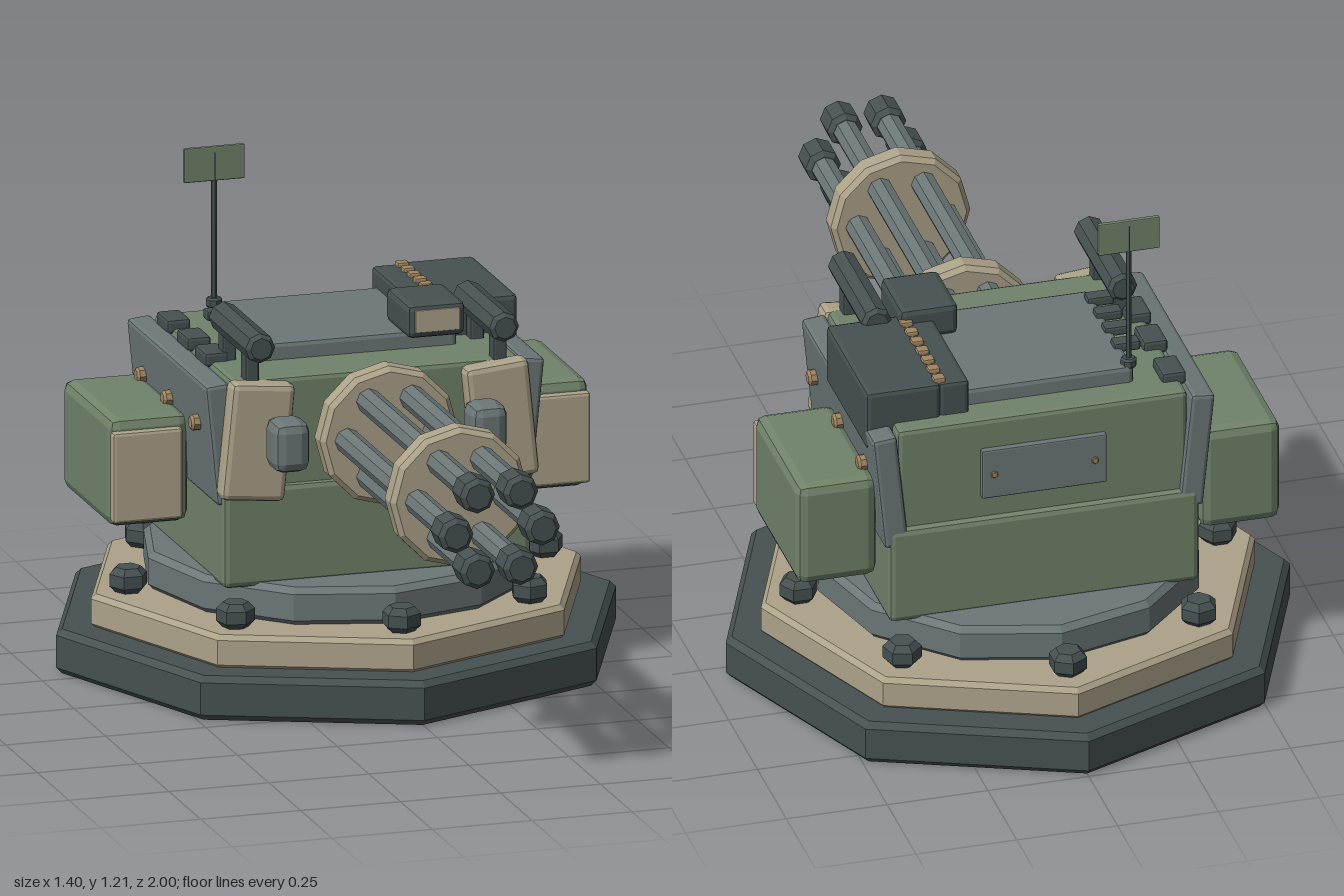
import * as THREE from 'three';
import { RoundedBoxGeometry } from 'three/addons/geometries/RoundedBoxGeometry.js';

const mat = (name, color) => {
  const m = new THREE.MeshStandardMaterial({ color });
  m.name = name;
  return m;
};

export function createModel() {
  const dark = mat('dark gunmetal', 0x465152);
  const grey = mat('steel grey', 0x6c7778);
  const green = mat('olive green', 0x70836a);
  const tan = mat('sand tan', 0xada38a);
  const brass = mat('brass', 0xa08560);

  const model = new THREE.Group();
  model.name = 'gunTurret';

  const add = (name, geometry, material, x, y, z, parent = model) => {
    const flat = geometry.index ? geometry.toNonIndexed() : geometry;
    flat.computeVertexNormals();
    const mesh = new THREE.Mesh(flat, material);
    mesh.name = name;
    mesh.position.set(x, y, z);
    parent.add(mesh);
    return mesh;
  };
  // Chamfered box, centred on its position
  const box = (name, material, size, pos, bevel = 0.012, parent = model) =>
    add(name, new RoundedBoxGeometry(...size, 1, bevel), material, ...pos, parent);
  // Chamfered prism standing on y = 0
  const prism = (r, h, sides, b) => new THREE.LatheGeometry([
    [0, 0], [r - b, 0], [r, b], [r, h - b], [r - b, h], [0, h],
  ].map(([x, y]) => new THREE.Vector2(x, y)), sides);
  // The same prism lying along +z
  const rod = (name, material, r, length, sides, b, pos, parent = model) =>
    add(name, prism(r, length, sides, b).rotateX(Math.PI / 2), material, ...pos, parent);

  // Stepped base and turntable
  const cz = -0.3;
  add('baseSlab', prism(0.7, 0.11, 8, 0.015), dark, 0, 0, cz);
  add('baseStep', prism(0.613, 0.085, 8, 0.012), tan, 0, 0.105, cz);
  add('turntable', prism(0.47, 0.095, 12, 0.015), grey, 0, 0.187, cz);
  for (let i = 0; i < 8; i++) {
    const a = i * Math.PI / 4;
    const bolt = add('baseBolt', prism(0.047, 0.062, 6, 0.016), dark,
      Math.sin(a) * 0.52, 0.189, cz + Math.cos(a) * 0.52);
    bolt.rotation.y = a;
  }

  // Hull
  box('lowerHull', green, [0.77, 0.25, 0.65], [0, 0.395, -0.295], 0.015);
  box('upperHull', green, [0.72, 0.29, 0.62], [0, 0.637, -0.292], 0.012);
  box('roofHatch', grey, [0.5, 0.055, 0.39], [0, 0.797, -0.325], 0.012);
  box('rearPanel', grey, [0.31, 0.13, 0.022], [0, 0.64, -0.607], 0.004);
  for (const s of [-1, 1]) {
    rod('rearPanelRivet', brass, 0.009, 0.008, 6, 0.002, [s * 0.125, 0.64, -0.624]);
  }

  for (const s of [-1, 1]) {
    // Side armour leaning outward at the top
    const side = box('sideArmour', grey, [0.06, 0.3, 0.63], [s * 0.38, 0.625, -0.302], 0.01);
    side.rotation.z = -s * 0.1;
    for (const z of [-0.08, -0.3, -0.51]) {
      const rivet = add('sideRivet', prism(0.02, 0.035, 8, 0.006), brass, s * 0.4, 0.66, z);
      rivet.rotation.z = -s * Math.PI / 2;
    }

    // Storage box with a sand front cover
    box('storageBox', green, [0.2, 0.27, 0.385], [s * 0.5, 0.515, -0.383], 0.025);
    box('storageCover', tan, [0.175, 0.225, 0.03], [s * 0.51, 0.508, -0.186], 0.008);

    // Front shield and its small pod
    const shield = box('frontShield', tan, [0.16, 0.29, 0.06], [s * 0.305, 0.635, 0.03], 0.015);
    shield.rotation.z = s * 0.1;
    box('shieldPod', grey, [0.09, 0.125, 0.1], [s * 0.247, 0.64, 0.1], 0.025);

    // Roof sight tube
    rod('sightTube', dark, 0.037, 0.31, 8, 0.01, [s * 0.305, 0.873, -0.235]);
    for (const z of [-0.18, 0]) {
      box('sightMount', dark, [0.035, 0.09, 0.04], [s * 0.31, 0.81, z], 0.006);
    }
  }

  // Rotary gun
  const gun = new THREE.Group();
  gun.name = 'rotaryGun';
  gun.position.y = 0.645;
  model.add(gun);
  rod('gunHub', dark, 0.09, 0.08, 12, 0.01, [0, 0, 0], gun);
  for (const z of [0.065, 0.62]) {
    rod('barrelClamp', tan, 0.173, 0.065, 12, 0.012, [0, 0, z], gun);
  }
  for (let i = 0; i < 6; i++) {
    const a = i * Math.PI / 3;
    const x = Math.cos(a) * 0.108, y = Math.sin(a) * 0.108;
    rod('barrel', grey, 0.031, 0.95, 8, 0.002, [x, y, 0.01], gun);
    rod('muzzle', dark, 0.044, 0.087, 8, 0.012, [x, y, 0.913], gun);
  }

  // Ammunition box with a belt across its lid
  box('ammoBox', dark, [0.185, 0.155, 0.355], [0.332, 0.793, -0.38], 0.012);
  box('ammoFeed', dark, [0.075, 0.14, 0.345], [0.205, 0.798, -0.38], 0.01);
  for (let i = 0; i < 7; i++) {
    box('beltRound', brass, [0.03, 0.022, 0.028], [0.238, 0.868, -0.53 + i * 0.047], 0.005);
  }

  // Camera housing
  box('cameraHousing', dark, [0.145, 0.083, 0.18], [0.18, 0.862, -0.16], 0.015);
  box('cameraWindow', tan, [0.11, 0.055, 0.008], [0.18, 0.864, -0.07], 0.002);

  // Roof blocks on the right
  for (const z of [-0.5, -0.34, -0.2]) {
    box('roofBlock', dark, [0.06, 0.035, 0.09], [-0.343, 0.787, z], 0.008);
  }
  for (const z of [-0.41, -0.33, -0.255, -0.18]) {
    box('hatchHinge', dark, [0.066, 0.025, 0.038], [-0.26, 0.825, z], 0.006);
  }

  // Antenna with a flat panel
  add('antennaFoot', prism(0.02, 0.025, 8, 0.005), dark, -0.242, 0.815, -0.5);
  add('antennaMast', prism(0.007, 0.375, 6, 0.001), dark, -0.242, 0.825, -0.5);
  box('antennaPanel', green, [0.152, 0.085, 0.012], [-0.242, 1.172, -0.5], 0.003);

  return model;
}
